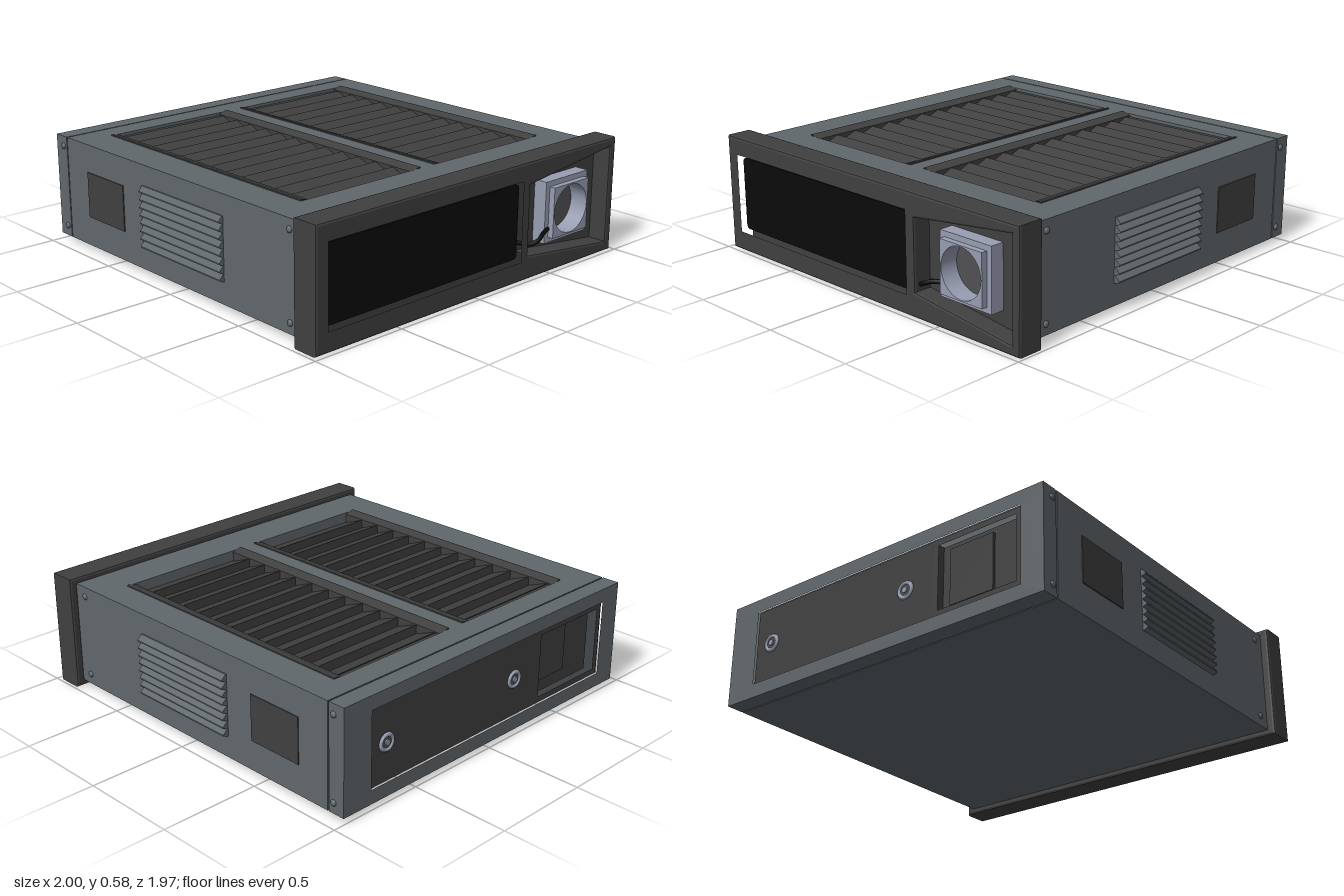
import * as THREE from 'three';

const mat = (name, color) => {
  const m = new THREE.MeshStandardMaterial({ color });
  m.name = name;
  return m;
};

export function createModel() {
  const root = new THREE.Group();
  const casing = mat('grey casing', 0x60676b);
  const trim = mat('dark trim', 0x404040);
  const glass = mat('black glass', 0x0b0b0b);
  const pale = mat('pale housing', 0x989eb2);
  const shade = mat('lens grey', 0x515154);

  const add = (name, geo, material) => {
    const m = new THREE.Mesh(geo, material);
    m.name = name;
    root.add(m);
    return m;
  };
  // Box given by its limits
  const box = (name, x0, x1, y0, y1, z0, z1, material) => {
    const m = add(name, new THREE.BoxGeometry(x1 - x0, y1 - y0, z1 - z0), material);
    m.position.set((x0 + x1) / 2, (y0 + y1) / 2, (z0 + z1) / 2);
  };
  const rect = (a0, a1, b0, b1) => [[a0, b0], [a1, b0], [a1, b1], [a0, b1]];
  const vecs = pts => pts.map(p => new THREE.Vector2(...p));
  const toShape = (pts, holes = []) => {
    const s = new THREE.Shape(vecs(pts));
    holes.forEach(h => s.holes.push(new THREE.Path(vecs(h))));
    return s;
  };
  const extrude = (shape, depth, bevel = 0) => new THREE.ExtrudeGeometry(shape, {
    depth: depth - 2 * bevel, bevelEnabled: bevel > 0, bevelSize: bevel, bevelThickness: bevel,
    bevelOffset: -bevel, bevelSegments: 2, curveSegments: 32,
  }).translate(0, 0, bevel);
  // Outline in (z, y), extruded from x0 to x1
  const flip = pts => pts.map(([z, y]) => [-z, y]);
  const alongX = (pts, holes, x0, x1, bevel = 0) =>
    extrude(toShape(flip(pts), holes.map(flip)), x1 - x0, bevel).rotateY(Math.PI / 2).translate(x0, 0, 0);

  // Casing: core, and a top cover with two vent openings
  const zb = -0.945, zf = 0.94;
  box('casingCore', -0.905, 0.85, 0.03, 0.46, zb, zf, casing);
  box('rearSeam', -0.915, -0.9, 0.036, 0.544, zb + 0.006, zf - 0.006, casing);
  const vents = [[-0.79, -0.06], [0.03, 0.76]];
  const vx0 = -0.785, vx1 = 0.64;
  const cover = toShape(rect(-0.905, 0.85, -zf, -zb), vents.map(([a, b]) => rect(vx0, vx1, -b, -a)));
  add('topCover', extrude(cover, 0.09).rotateX(-Math.PI / 2).translate(0, 0.46, 0), casing);

  // Sloped vent slats with a lip at each end
  const pitch = 0.115, sx0 = -0.75;
  const saw = [[vx0, 0.46], [vx0, 0.535], [sx0, 0.535]];
  for (let i = 0; i < 12; i++) {
    const x = sx0 + i * pitch;
    saw.push([x, 0.54], [x + pitch, 0.495]);
  }
  saw.push([vx1, 0.495], [vx1, 0.46]);
  vents.forEach(([a, b], i) => {
    const name = i ? 'frontVent' : 'rearVent';
    add(name + 'Slats', extrude(toShape(saw), b - a).translate(0, 0, a), trim);
    for (const [edge, dir] of [[a, 1], [b, -1]]) {
      const lip = [[edge, 0.47], [edge, 0.556], [edge + dir * 0.012, 0.556],
        [edge + dir * 0.055, 0.542], [edge + dir * 0.055, 0.47]];
      add(name + 'Lip', alongX(lip, [], vx0, vx1), trim);
    }
  });

  // Rear cap with an inset connector panel and a socket recess
  add('rearCap', alongX(rect(zb, zf, 0.03, 0.55), [rect(-0.78, 0.82, 0.1, 0.48)], -1, -0.912), casing);
  box('rearPanel', -0.99, -0.912, 0.1, 0.48, -0.78, 0.33, trim);
  box('socketFloor', -0.92, -0.91, 0.1, 0.48, 0.33, 0.82, trim);
  add('socketRim', alongX(rect(0.33, 0.82, 0.1, 0.48), [rect(0.36, 0.79, 0.13, 0.45)], -0.99, -0.915), trim);
  box('socketPlate', -0.935, -0.915, 0.17, 0.45, 0.38, 0.62, trim);
  for (const z of [-0.68, 0.17]) {
    const ring = add('rearConnector', new THREE.TorusGeometry(0.036, 0.01, 10, 28).rotateY(Math.PI / 2), pale);
    ring.position.set(-0.99, 0.29, z);
    const barrel = add('connectorBarrel', new THREE.CylinderGeometry(0.034, 0.034, 0.01, 28).rotateZ(Math.PI / 2), shade);
    barrel.position.set(-0.988, 0.29, z);
    const pin = add('connectorPin', new THREE.CylinderGeometry(0.014, 0.014, 0.02, 16).rotateZ(Math.PI / 2), pale);
    pin.position.set(-0.99, 0.29, z);
  }

  // Both sides: louvres, dark plate and screws
  for (const [z, s, out, side] of [[zf, 1, 0.025, 'front'], [zb, -1, 0.03, 'back']]) {
    const n = 8, y0 = 0.14, h = 0.31 / n;
    const pts = [[z - s * 0.01, y0]];
    for (let i = 0; i < n; i++) {
      const y = y0 + i * h;
      pts.push([z + s * 0.004, y], [z + s * out, y + 0.008], [z + s * out, y + 0.014], [z + s * 0.006, y + h - 0.002]);
    }
    pts.push([z - s * 0.01, y0 + 0.31]);
    add(side + 'Louvres', alongX(pts, [], -0.27, 0.33), casing);
    box(side + 'Plate', -0.73, -0.43, 0.18, 0.41, z - 0.004, z + 0.005, trim);
    for (const x of [-0.94, 0.775]) for (const y of [0.083, 0.5]) {
      const screw = add(side + 'Screw', new THREE.SphereGeometry(0.016, 16, 10), casing);
      screw.position.set(x, y, z);
      screw.scale.z = 0.7;
    }
  }

  // Bezel with a wide window and a tapering pocket
  const pocket = [[-0.355, 0.12], [-0.94, 0.05], [-0.94, 0.535], [-0.355, 0.465]];
  const win = rect(-0.315, 0.92, 0.085, 0.505);
  add('bezel', alongX(rect(-0.985, 0.98, 0, 0.58), [win, pocket], 0.84, 0.98, 0.012), trim);
  box('bezelBacking', 0.842, 0.885, 0.03, 0.55, -0.96, 0.95, trim);
  const pane = new THREE.Shape();
  const [l, r, b, t, c] = [-0.902, 0.305, 0.108, 0.475, 0.025];
  pane.moveTo(l + c, b).lineTo(r - c, b).quadraticCurveTo(r, b, r, b + c).lineTo(r, t - c)
    .quadraticCurveTo(r, t, r - c, t).lineTo(l + c, t).quadraticCurveTo(l, t, l, t - c)
    .lineTo(l, b + c).quadraticCurveTo(l, b, l + c, b);
  add('windowGlass', extrude(pane, 0.07).rotateY(Math.PI / 2).translate(0.88, 0, 0), glass);

  // Lens housing: stepped square blocks around a round bore
  const cz = -0.65, cy = 0.29, bore = 0.12;
  for (const [name, half, x0, x1] of [['lensBase', 0.153, 0.88, 0.955], ['lensFrame', 0.126, 0.955, 0.985]]) {
    const block = toShape(rect(-half, half, -half, half));
    block.holes.push(new THREE.Path().absarc(0, 0, bore, 0, Math.PI * 2, true));
    const m = add(name, extrude(block, x1 - x0).rotateY(Math.PI / 2), pale);
    m.position.set(x0, cy, cz);
  }
  const lens = add('lensDisc', new THREE.CylinderGeometry(0.123, 0.123, 0.01, 40).rotateZ(Math.PI / 2), shade);
  lens.position.set(0.886, cy, cz);

  // Curved lead beside the lens
  const lead = new THREE.CatmullRomCurve3([
    [0.885, 0.155, -0.375], [0.965, 0.165, -0.385], [0.987, 0.182, -0.415],
    [0.975, 0.2, -0.46], [0.95, 0.208, -0.53],
  ].map(p => new THREE.Vector3(...p)));
  add('lensLead', new THREE.TubeGeometry(lead, 24, 0.011, 8), glass);

  return root;
}
